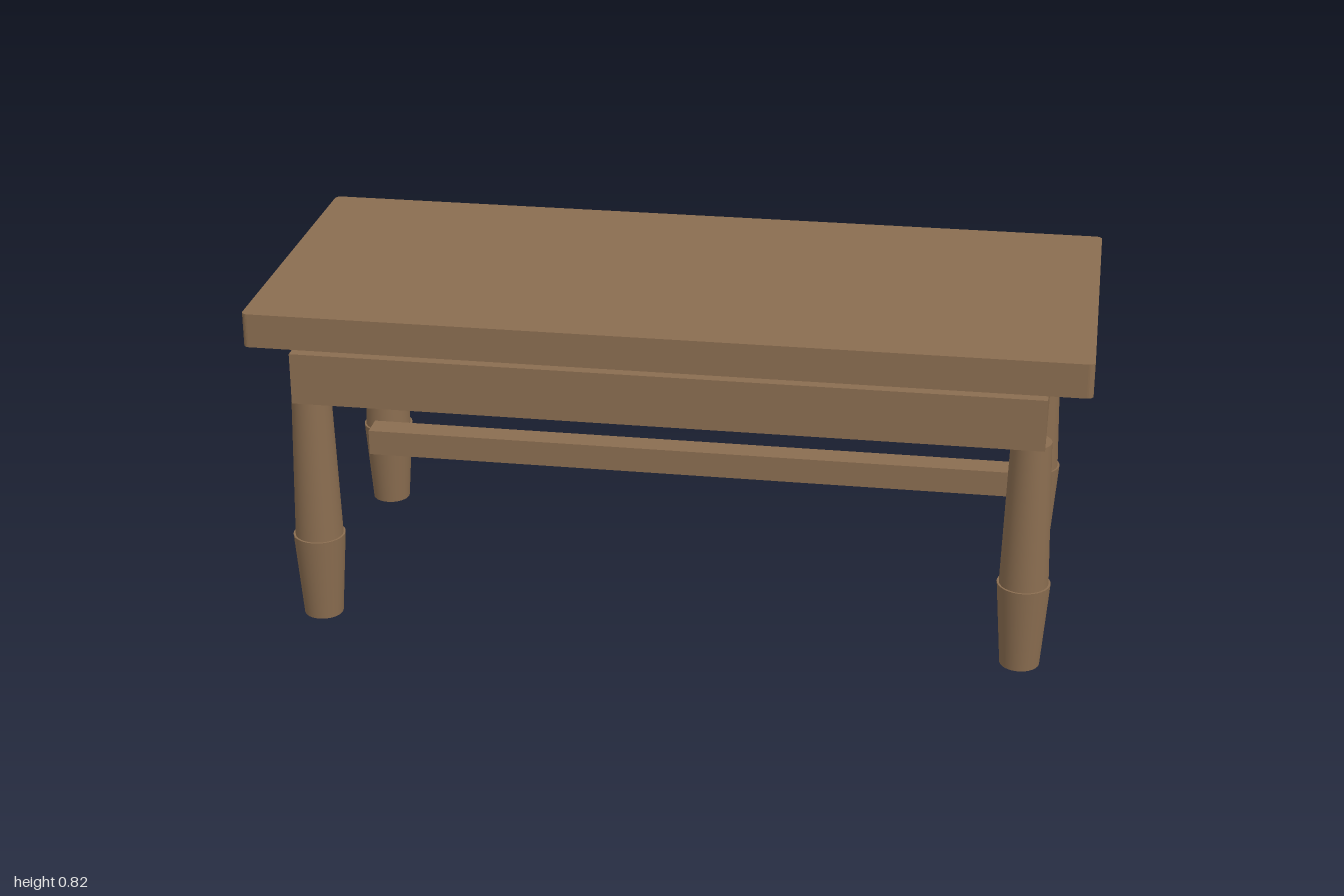
import * as THREE from 'three';

const wood = new THREE.MeshStandardMaterial({ color: 0x8a6d50 });
wood.name = 'brown wood';

function part(name, geometry, x = 0, y = 0, z = 0) {
  const mesh = new THREE.Mesh(geometry, wood);
  mesh.name = name;
  mesh.position.set(x, y, z);
  return mesh;
}

// Slab with slightly rounded vertical corners, base at y = 0
function slabGeometry(hx, hz, height, r) {
  const s = new THREE.Shape();
  s.moveTo(-hx + r, -hz);
  s.absarc(hx - r, -hz + r, r, -Math.PI / 2, 0);
  s.absarc(hx - r, hz - r, r, 0, Math.PI / 2);
  s.absarc(-hx + r, hz - r, r, Math.PI / 2, Math.PI);
  s.absarc(-hx + r, -hz + r, r, Math.PI, Math.PI * 1.5);
  const g = new THREE.ExtrudeGeometry(s, { depth: height, bevelEnabled: false, curveSegments: 3 });
  return g.rotateX(-Math.PI / 2);
}

// Turned leg: foot flaring up to a small step, then a tapering shaft
function createLeg(name, x, z) {
  const leg = new THREE.Group();
  leg.name = name;
  leg.position.set(x, 0, z);
  const step = 0.217, top = 0.586;
  leg.add(part('legFoot', new THREE.CylinderGeometry(0.064, 0.048, step, 32), 0, step / 2, 0));
  leg.add(part('legShaft', new THREE.CylinderGeometry(0.048, 0.059, top - step, 32), 0, (step + top) / 2, 0));
  return leg;
}

export function createModel() {
  const table = new THREE.Group();
  table.name = 'table';

  // Top floats just above the apron
  table.add(part('tableTop', slabGeometry(1, 0.421, 0.084, 0.015), 0, 0.738, 0));

  // Apron frame, open in the middle
  const t = 0.04, h = 0.128, y = 0.649, hx = 0.898, hz = 0.39;
  for (const s of [1, -1]) {
    table.add(part(s > 0 ? 'frontApron' : 'backApron',
      new THREE.BoxGeometry(2 * hx, h, t), 0, y, s * (hz - t / 2)));
    table.add(part(s > 0 ? 'leftApron' : 'rightApron',
      new THREE.BoxGeometry(t, h, 2 * (hz - t)), s * (hx - t / 2), y, 0));
  }

  // Legs
  for (const sx of [1, -1])
    for (const sz of [1, -1])
      table.add(createLeg((sz > 0 ? 'front' : 'back') + (sx > 0 ? 'Left' : 'Right') + 'Leg', sx * 0.865, sz * 0.337));

  // Centre stretcher
  table.add(part('stretcher', new THREE.BoxGeometry(1.63, 0.065, 0.065), 0, 0.326, 0));

  return table;
}
